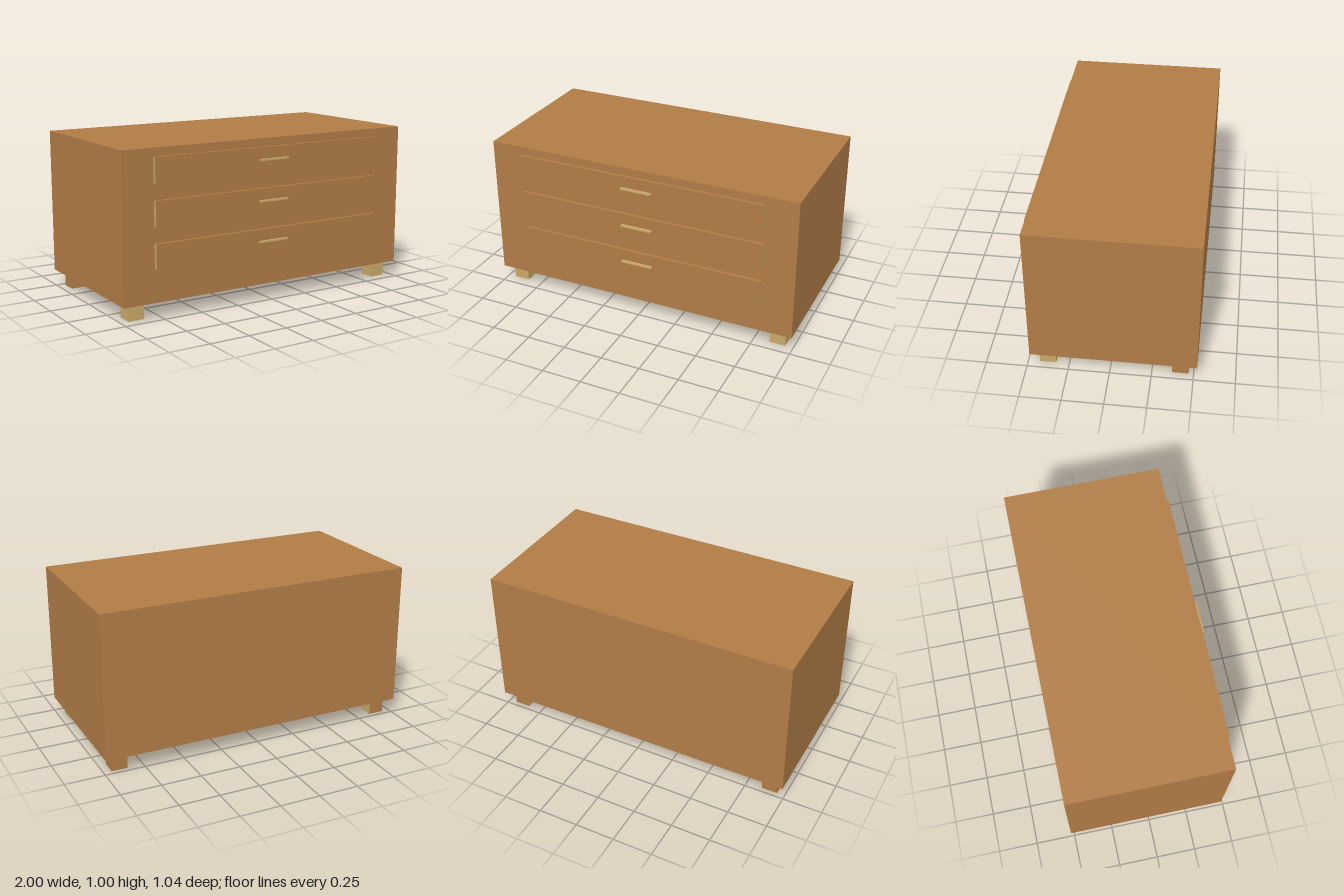
import * as THREE from 'three';

export function createModel() {
  const root = new THREE.Group();
  root.name = 'drawerChest';

  const brown = new THREE.MeshStandardMaterial({ color: 0xb07c46 });
  brown.name = 'brownWood';
  const tan = new THREE.MeshStandardMaterial({ color: 0xc8a868 });
  tan.name = 'tanWood';

  // Box from size and centre; an array of materials follows +x, -x, +y, -y, +z, -z
  function box(name, size, centre, material, parent = root) {
    const mesh = new THREE.Mesh(new THREE.BoxGeometry(...size), material);
    mesh.name = name;
    mesh.position.set(...centre);
    parent.add(mesh);
    return mesh;
  }

  // Cabinet body
  box('cabinet', [2, 0.9, 1], [0, 0.55, -0.02], brown);

  // Three drawers: brown fronts with tan ends, each with a thin handle
  const drawerFaces = [tan, tan, brown, brown, brown, brown];
  ['bottomDrawer', 'middleDrawer', 'topDrawer'].forEach((name, i) => {
    const drawer = new THREE.Group();
    drawer.name = name;
    drawer.position.set(0, 0.375 + i * 0.25, 0);
    box('drawerFront', [1.6, 0.15, 0.02], [0, 0, 0.49], drawerFaces, drawer);
    box('handle', [0.2, 0.01, 0.02], [0, 0, 0.51], tan, drawer);
    root.add(drawer);
  });

  // Feet: the front pair is tan, the rear pair is brown with tan inner sides
  const feet = [
    ['frontLeftFoot', 0.9, 0.38, [tan, tan, tan, brown, tan, tan]],
    ['frontRightFoot', -0.9, 0.38, tan],
    ['rearLeftFoot', 0.9, -0.42, [brown, tan, tan, tan, brown, brown]],
    ['rearRightFoot', -0.9, -0.42, [tan, brown, tan, brown, brown, brown]],
  ];
  for (const [name, x, z, material] of feet) {
    box(name, [0.1, 0.1, 0.1], [x, 0.05, z], material);
  }

  return root;
}
